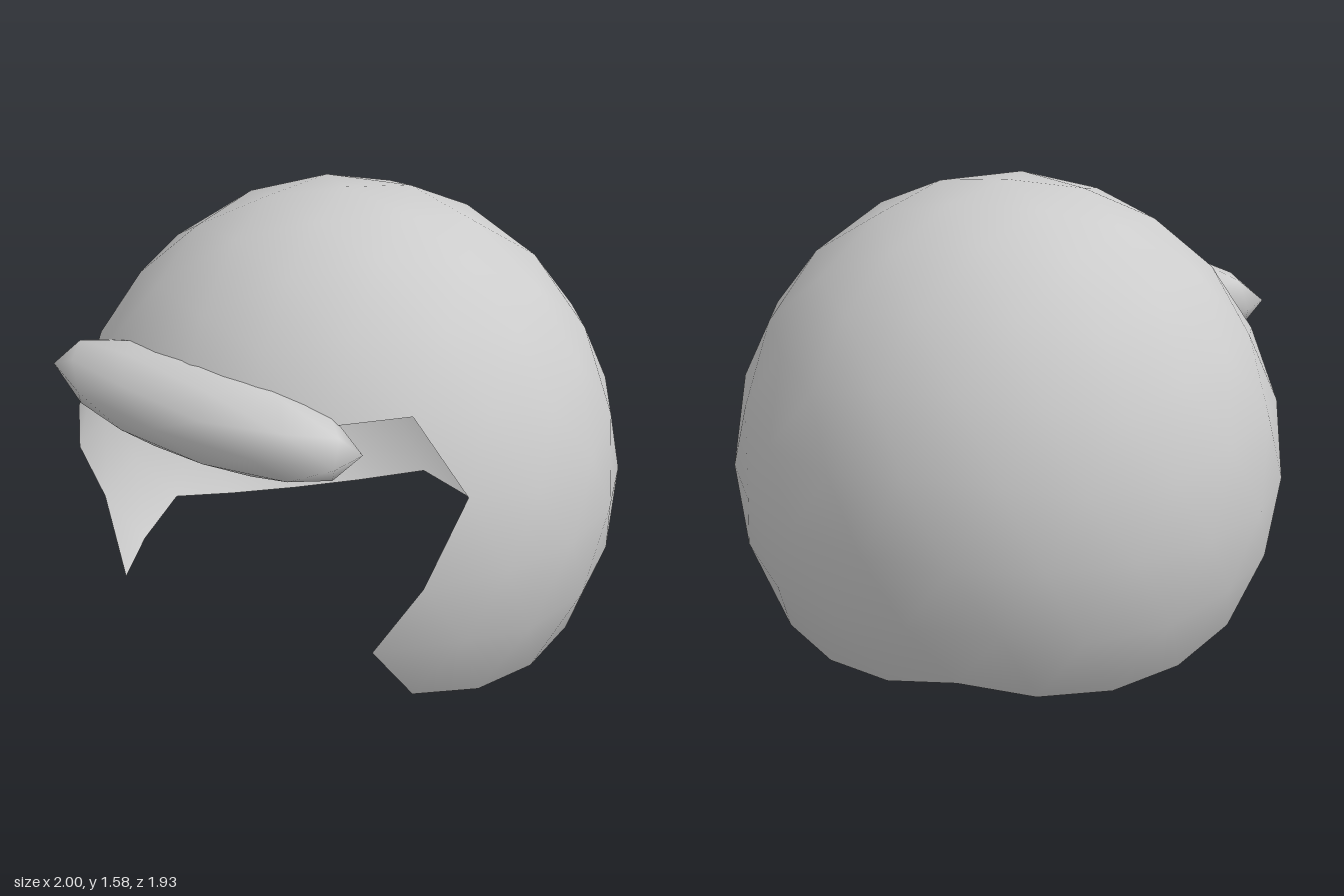
import * as THREE from 'three';

// Icosahedron corners with a vertex at each pole; ring angle runs from +x to +z
const ring = (y, offset) => Array.from({ length: 5 }, (_, i) => {
  const a = THREE.MathUtils.degToRad(offset + 72 * i);
  const r = Math.sqrt(1 - y * y);
  return new THREE.Vector3(r * Math.cos(a), y, r * Math.sin(a));
});

// Smooth recursive icosphere; the underside and chosen faces may be left out
function icosphere(level, { openBottom = false, isHole = () => false } = {}) {
  const h = 1 / Math.sqrt(5);
  const upper = ring(h, 0), lower = ring(-h, 36);
  const top = new THREE.Vector3(0, 1, 0), bottom = new THREE.Vector3(0, -1, 0);
  const points = [];

  const divide = (a, b, c, depth) => {
    if (depth === 0) {
      const centre = a.clone().add(b).add(c).normalize();
      if (!isHole(centre)) for (const p of [a, b, c]) points.push(p.x, p.y, p.z);
      return;
    }
    const mid = (p, q) => p.clone().add(q).normalize();
    const ab = mid(a, b), bc = mid(b, c), ca = mid(c, a);
    divide(a, ab, ca, depth - 1);
    divide(ab, b, bc, depth - 1);
    divide(ca, bc, c, depth - 1);
    divide(ab, bc, ca, depth - 1);
  };

  for (let i = 0; i < 5; i++) {
    const j = (i + 1) % 5;
    divide(top, upper[j], upper[i], level);
    divide(upper[i], upper[j], lower[i], level);
    divide(lower[i], upper[j], lower[j], level);
    if (!openBottom) divide(bottom, lower[i], lower[j], level);
  }

  const geometry = new THREE.BufferGeometry();
  geometry.setAttribute('position', new THREE.Float32BufferAttribute(points, 3));
  geometry.setAttribute('normal', new THREE.Float32BufferAttribute(points, 3));
  return geometry;
}

// Outline of the face opening: degrees from the front toward +x, unit height
const opening = [
  [54, 0.526], [63.8, 0.276], [54, 0], [45.4, -0.25], [54, -0.447], [54, -0.9],
  [-54, -0.9], [-54, -0.526], [-63.8, -0.276], [-54, 0], [-45.4, 0.25],
  [-36.5, 0.506], [-18, 0.526], [0, 0.49], [18, 0.447], [36, 0.506],
];

function inOpening(p) {
  const u = THREE.MathUtils.radToDeg(Math.atan2(p.x, p.z));
  let inside = false;
  opening.forEach(([u1, y1], i) => {
    const [u2, y2] = opening[(i + 1) % opening.length];
    if ((y1 > p.y) !== (y2 > p.y) && u < u1 + (p.y - y1) / (y2 - y1) * (u2 - u1)) inside = !inside;
  });
  return inside;
}

export function createModel() {
  const group = new THREE.Group();
  group.name = 'helmet';
  const grey = new THREE.MeshStandardMaterial({ color: 0xcccccc, side: THREE.DoubleSide });
  grey.name = 'light grey';

  // Open shell
  const shell = new THREE.Mesh(icosphere(2, { openBottom: true, isHole: inOpening }), grey);
  shell.geometry.scale(1, 1.037, 0.97).translate(0, 0.545, 0);
  shell.name = 'shell';

  // Long rounded brow bar over the opening
  const brow = new THREE.Mesh(icosphere(1), grey);
  brow.geometry.scale(0.673, 0.16, 0.222).translate(0, 1.01, 0.743);
  brow.name = 'browBar';

  group.add(shell, brow);
  return group;
}
